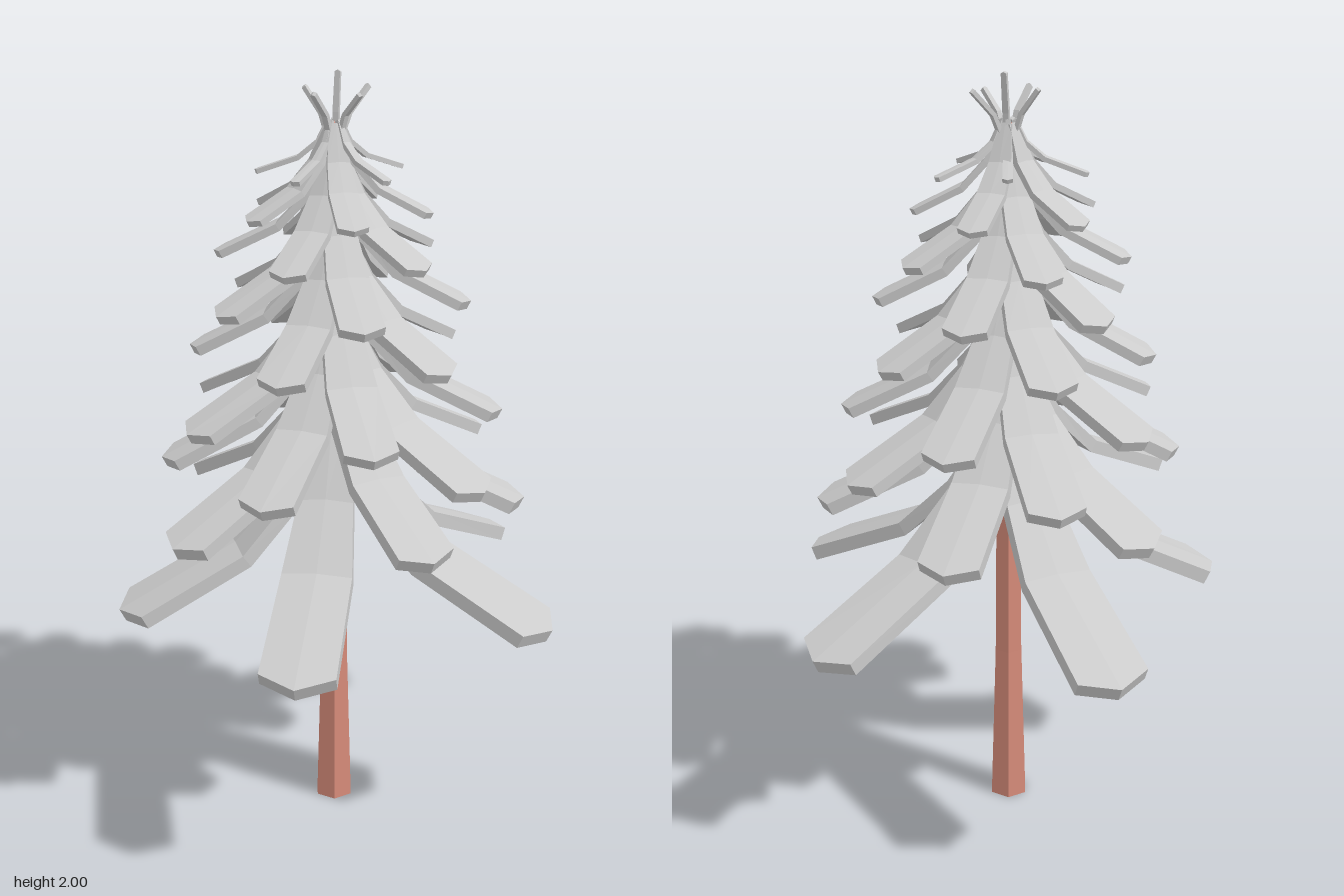
import * as THREE from 'three';

const needleMat = new THREE.MeshStandardMaterial({ color: 0xcccccc, flatShading: true });
const barkMat = new THREE.MeshStandardMaterial({ color: 0xd78c7a, flatShading: true });

// Bent slab running out along +x: path = [r, y, halfWidth], blunt three-point tip
function boughGeometry(path, thick, point, ridge) {
  const loops = path.map(([r, y, w], i) => {
    const a = path[Math.max(i - 1, 0)], b = path[Math.min(i + 1, path.length - 1)];
    const len = Math.hypot(b[0] - a[0], b[1] - a[1]);
    const tx = (b[0] - a[0]) / len, ty = (b[1] - a[1]) / len;
    const dx = ty * thick, dy = -tx * thick; // from top surface to underside
    const tip = i === path.length - 1 ? point : 0;
    const mx = r + tip * tx, my = y + tip * ty + ridge;
    return [
      [r, y, -w], [mx, my, 0], [r, y, w],
      [r + dx, y + dy, w], [mx + dx, my + dy, 0], [r + dx, y + dy, -w],
    ];
  });
  const pos = [];
  const quad = (a, b, c, d) => pos.push(...a, ...b, ...c, ...a, ...c, ...d);
  for (let s = 0; s < loops.length - 1; s++) {
    const p = loops[s], q = loops[s + 1];
    for (let i = 0; i < 6; i++) {
      const j = (i + 1) % 6;
      quad(p[i], p[j], q[j], q[i]);
    }
  }
  const e = loops[loops.length - 1], f = loops[0];
  quad(e[0], e[1], e[4], e[5]);
  quad(e[1], e[2], e[3], e[4]);
  quad(f[5], f[4], f[1], f[0]);
  quad(f[4], f[3], f[2], f[1]);
  const g = new THREE.BufferGeometry();
  g.setAttribute('position', new THREE.Float32BufferAttribute(pos, 3));
  g.computeVertexNormals();
  return g;
}

// Drooping bough: steep at the trunk, shallower past the elbow
function droopingBough(reach, y, rise, w, thick) {
  const point = w * 0.5, end = reach - point;
  return boughGeometry([
    [0.02, y + rise, w * 0.45],
    [reach * 0.23, y + rise * 0.6, w * 0.75],
    [reach * 0.46, y + rise * 0.31, w * 0.95],
    [end, y + rise * 0.04, w],
  ], thick, point, w * 0.06);
}

// Tiers from the bottom up; angles in degrees from +x towards +z
const tiers = [
  { y: 0.635, rise: 0.50, w: 0.095, t: 0.038, reach: [0.63, 0.62, 0.59, 0.645, 0.655], ang: [28.5, 100, 165, -115.5, -43.5] },
  { y: 0.885, rise: 0.42, w: 0.078, t: 0.034, reach: [0.51, 0.50, 0.53, 0.485, 0.51], ang: [0, 62, 140, -139, -73] },
  { y: 1.02, rise: 0.40, w: 0.072, t: 0.03, reach: [0.455, 0.475, 0.485, 0.47, 0.48], ang: [175, 113, 41, -32, -106] },
  { y: 1.14, rise: 0.37, w: 0.068, t: 0.028, reach: [0.44, 0.43, 0.43, 0.43, 0.44], ang: [3, 78, 150, -144, -70] },
  { y: 1.30, rise: 0.33, w: 0.062, t: 0.026, reach: [0.38, 0.375, 0.375, 0.375, 0.375], ang: [187, 113, 41, -32, -109] },
  { y: 1.43, rise: 0.30, w: 0.056, t: 0.024, reach: [0.35, 0.35, 0.34, 0.34, 0.35], ang: [4, 79, 150, -135, -72] },
  { y: 1.55, rise: 0.26, w: 0.048, t: 0.02, reach: [0.31, 0.3, 0.3, 0.3, 0.32], ang: [187, 115, 43, -32, -107] },
  { y: 1.655, rise: 0.22, w: 0.038, t: 0.016, reach: [0.25, 0.255, 0.25, 0.25, 0.26], ang: [6, 80, 150, -138, -70] },
  { y: 1.755, rise: 0.13, w: 0.013, t: 0.012, reach: [0.2, 0.19, 0.2, 0.2, 0.12], ang: [187, 122, 50, -28, -90] },
];

export function createModel() {
  const model = new THREE.Group();
  model.name = 'pineTree';
  const tree = new THREE.Group();
  tree.name = 'tree';
  tree.position.z = -0.02;
  model.add(tree);

  // Six-sided trunk, flared at the foot
  const trunk = new THREE.Mesh(new THREE.LatheGeometry([
    [0, 0], [0.054, 0], [0.04, 0.45], [0.036, 0.9], [0.03, 1.45], [0.014, 1.87], [0, 1.88],
  ].map(([x, y]) => new THREE.Vector2(x, y)), 6), barkMat);
  trunk.name = 'trunk';
  tree.add(trunk);

  const addBough = (parent, geo, deg, name) => {
    const m = new THREE.Mesh(geo, needleMat);
    m.rotation.y = -THREE.MathUtils.degToRad(deg);
    m.name = name;
    parent.add(m);
  };

  // Tiers of drooping boughs
  tiers.forEach((tier, k) => {
    const g = new THREE.Group();
    g.name = `boughTier${k + 1}`;
    tier.ang.forEach((deg, i) =>
      addBough(g, droopingBough(tier.reach[i], tier.y, tier.rise, tier.w, tier.t), deg, 'bough'));
    tree.add(g);
  });

  // Upright twigs at the crown: [angle, reach, tip height]
  const crown = new THREE.Group();
  crown.name = 'crownTwigs';
  [[-35, 0.1, 1.965], [40, 0.075, 1.955], [125, 0.085, 1.96], [205, 0.075, 1.965], [-70, 0.022, 2]]
    .forEach(([deg, r, y]) => addBough(crown, boughGeometry([
      [0.004, 1.82, 0.008], [r * 0.4, 1.9, 0.008], [r, y - 0.004, 0.007],
    ], 0.011, 0.004, 0), deg, 'twig'));
  tree.add(crown);

  return model;
}
